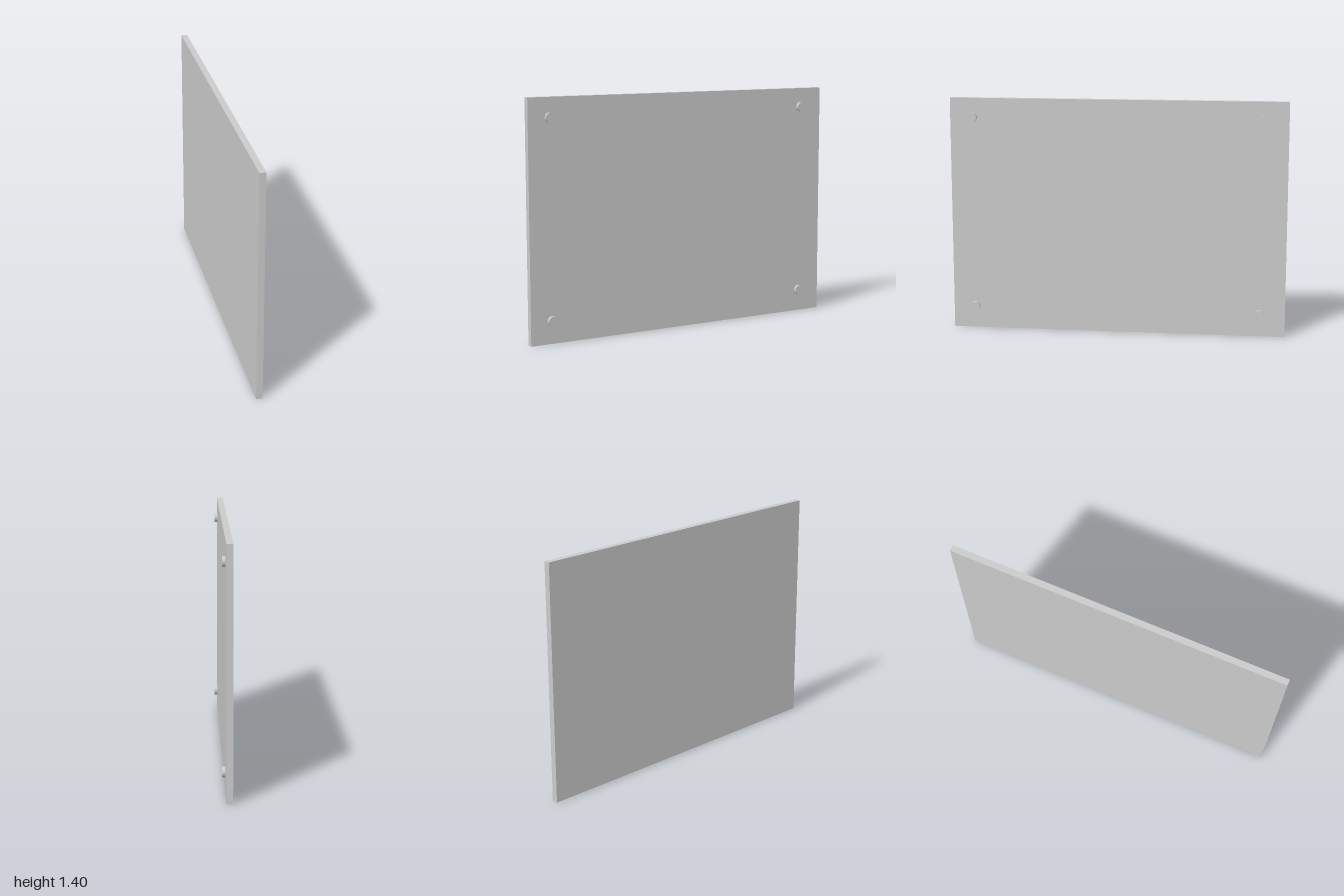
import * as THREE from 'three';

export function createModel() {
  const model = new THREE.Group();
  const material = new THREE.MeshStandardMaterial({ color: 0xcccccc });

  // Upright flat board
  const back = -0.028, face = 0.009, tip = 0.028, height = 1.4;
  const panel = new THREE.Mesh(new THREE.BoxGeometry(face - back, height, 2), material);
  panel.name = 'panel';
  panel.position.set((back + face) / 2, height / 2, 0);
  model.add(panel);

  // Round pegs near the corners, slightly sunk into the board
  const sunk = face - 0.005;
  const pegGeometry = new THREE.CylinderGeometry(0.029, 0.029, tip - sunk, 32).rotateZ(-Math.PI / 2);
  for (const [row, y] of [['lower', 0.132], ['upper', 1.285]]) {
    for (const [end, z] of [['Front', 0.868], ['Back', -0.85]]) {
      const peg = new THREE.Mesh(pegGeometry, material);
      peg.name = `${row}${end}Peg`;
      peg.position.set((sunk + tip) / 2, y, z);
      model.add(peg);
    }
  }
  return model;
}
